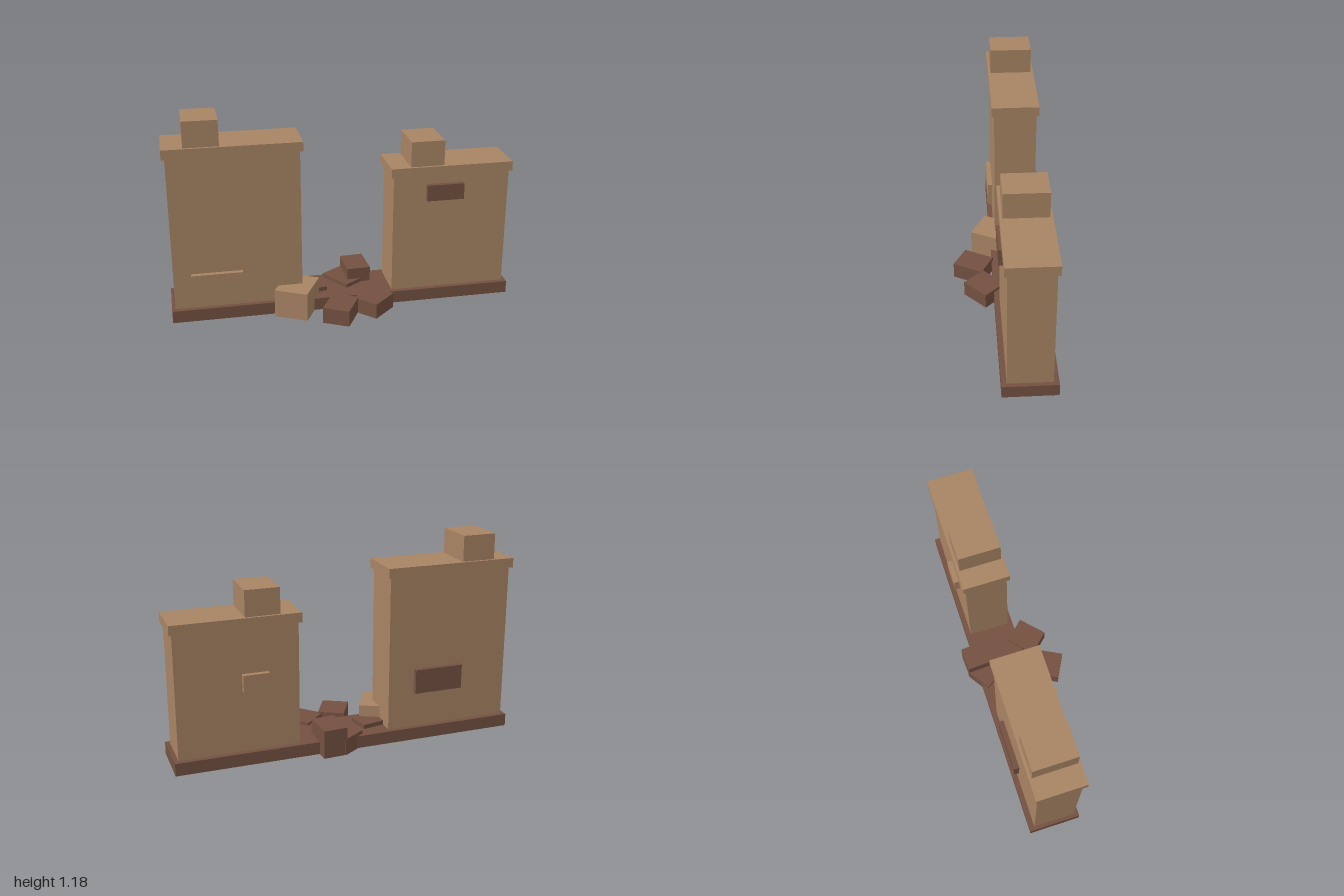
import * as THREE from 'three';

export function createModel() {
  const model = new THREE.Group();
  model.name = 'ruinedWall';
  const stone = new THREE.MeshStandardMaterial({ color: 0xa88464 });
  stone.name = 'lightStone';
  const dark = new THREE.MeshStandardMaterial({ color: 0x745141 });
  dark.name = 'darkStone';

  // Box given by its extents on each axis
  function box(name, mat, [x0, x1], [y0, y1], [z0, z1], parent = model) {
    const mesh = new THREE.Mesh(new THREE.BoxGeometry(x1 - x0, y1 - y0, z1 - z0), mat);
    mesh.position.set((x0 + x1) / 2, (y0 + y1) / 2, (z0 + z1) / 2);
    mesh.name = name;
    parent.add(mesh);
  }

  const wallZ = [-0.207, 0.037];
  const capZ = [-0.222, 0.052];
  const frontZ = [0.03, 0.065];
  const backZ = [-0.237, -0.2];

  // Footing, a hair above the wall undersides
  box('footing', dark, [-1, 1], [0.002, 0.075], [-0.237, 0.066]);

  // Two standing wall sections, each with a cap and a merlon
  const sections = [
    { name: 'tallWall', x: [-0.98, -0.245], top: 0.98, cap: [-0.998, -0.229], merlon: [-0.88, -0.685] },
    { name: 'shortWall', x: [0.29, 0.976], top: 0.785, cap: [0.273, 0.992], merlon: [0.39, 0.585] },
  ];
  for (const s of sections) {
    const g = new THREE.Group();
    g.name = s.name;
    model.add(g);
    box('wallBody', stone, s.x, [0, s.top], wallZ, g);
    box('cap', stone, s.cap, [s.top, s.top + 0.055], capZ, g);
    box('merlon', stone, s.merlon, [s.top + 0.055, s.top + 0.203], wallZ, g);
  }

  // Raised stones on the faces
  box('frontLightStone', stone, [-0.88, -0.587], [0.14, 0.287], frontZ);
  box('frontDarkStone', dark, [0.485, 0.703], [0.635, 0.731], frontZ);
  box('backDarkStone', dark, [-0.69, -0.4], [0.287, 0.43], backZ);
  box('backLightStone', stone, [0.465, 0.611], [0.43, 0.526], backZ);

  // Fallen rubble: material, x, z, width, height, depth, turn
  const rubble = [
    [stone, -0.277, 0.038, 0.197, 0.168, 0.228, -0.47],
    [dark, -0.045, 0.178, 0.157, 0.096, 0.187, -0.49],
    [dark, 0.163, 0.12, 0.157, 0.091, 0.178, -0.82],
    [dark, 0.115, -0.2, 0.139, 0.165, 0.194, 0.05],
    [dark, 0.04, -0.167, 0.16, 0.097, 0.209, 0.58],
    [dark, -0.176, -0.077, 0.15, 0.1, 0.128, 0.2],
  ];
  rubble.forEach(([mat, x, z, w, h, d, turn], i) => {
    const mesh = new THREE.Mesh(new THREE.BoxGeometry(w, h, d), mat);
    mesh.position.set(x, h / 2, z);
    mesh.rotation.y = turn;
    mesh.name = `rubbleBlock${i + 1}`;
    model.add(mesh);
  });

  return model;
}
